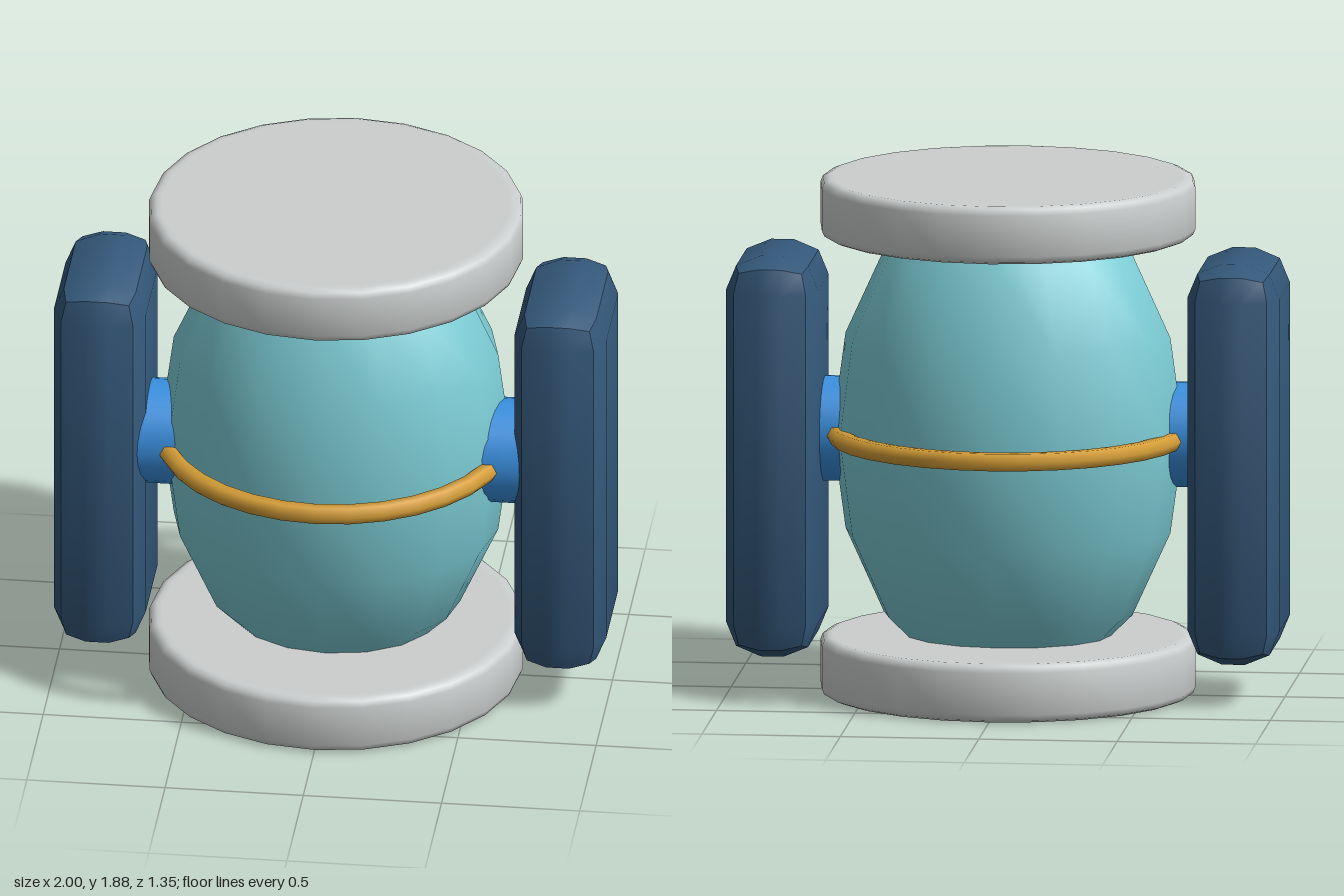
import * as THREE from 'three';
import { toCreasedNormals } from 'three/addons/utils/BufferGeometryUtils.js';
import { RoundedBoxGeometry } from 'three/addons/geometries/RoundedBoxGeometry.js';

const makeMaterial = (name, color) => {
  const m = new THREE.MeshStandardMaterial({ color });
  m.name = name;
  return m;
};

export function createModel() {
  const teal = makeMaterial('teal', 0x7cccd5);
  const grey = makeMaterial('light grey', 0xcccfcf);
  const navy = makeMaterial('navy', 0x34587a);
  const blue = makeMaterial('bright blue', 0x3a90e0);
  const gold = makeMaterial('gold', 0xd8a038);

  const model = new THREE.Group();
  model.name = 'model';
  const add = (name, geometry, material, x, y, z) => {
    const mesh = new THREE.Mesh(geometry, material);
    mesh.name = name;
    mesh.position.set(x, y, z);
    model.add(mesh);
    return mesh;
  };

  // Barrel-like body: a stretched ellipsoid
  const bodyGeometry = new THREE.SphereGeometry(1, 16, 8).scale(0.635, 0.93, 0.53);
  add('body', bodyGeometry, teal, 0, 0.945, 0);

  // Base and top discs with softly rounded rims
  const disc = (name, y, height) => {
    const r = 0.677, b = 0.03;
    const profile = [[0, 0], [r - 0.05, 0], [r - b, 0], [r - b * 0.29, b * 0.29], [r, b],
      [r, height - b], [r - b * 0.29, height - b * 0.29], [r - b, height], [r - 0.05, height], [0, height]]
      .map(([px, py]) => new THREE.Vector2(px, py));
    const geometry = toCreasedNormals(new THREE.LatheGeometry(profile, 24), 0.85);
    add(name, geometry, grey, 0, y, 0);
  };
  disc('baseDisc', 0, 0.213);
  disc('topDisc', 1.67, 0.21);

  // Ring around the waist
  const ringGeometry = new THREE.TorusGeometry(0.62, 0.036, 6, 32).rotateX(Math.PI / 2);
  add('waistRing', ringGeometry, gold, 0, 0.945, 0);

  // Side blocks with the hubs that join them to the body
  const blockGeometry = toCreasedNormals(new RoundedBoxGeometry(0.333, 1.46, 0.61, 1, 0.125), 0.6);
  const hubGeometry = new THREE.CylinderGeometry(0.19, 0.19, 0.24, 24).rotateZ(Math.PI / 2);
  for (const [side, s] of [['left', 1], ['right', -1]]) {
    add(side + 'Block', blockGeometry, navy, s * 0.833, 0.875, 0);
    add(side + 'Hub', hubGeometry, blue, s * 0.62, 0.942, 0.05);
  }

  return model;
}
